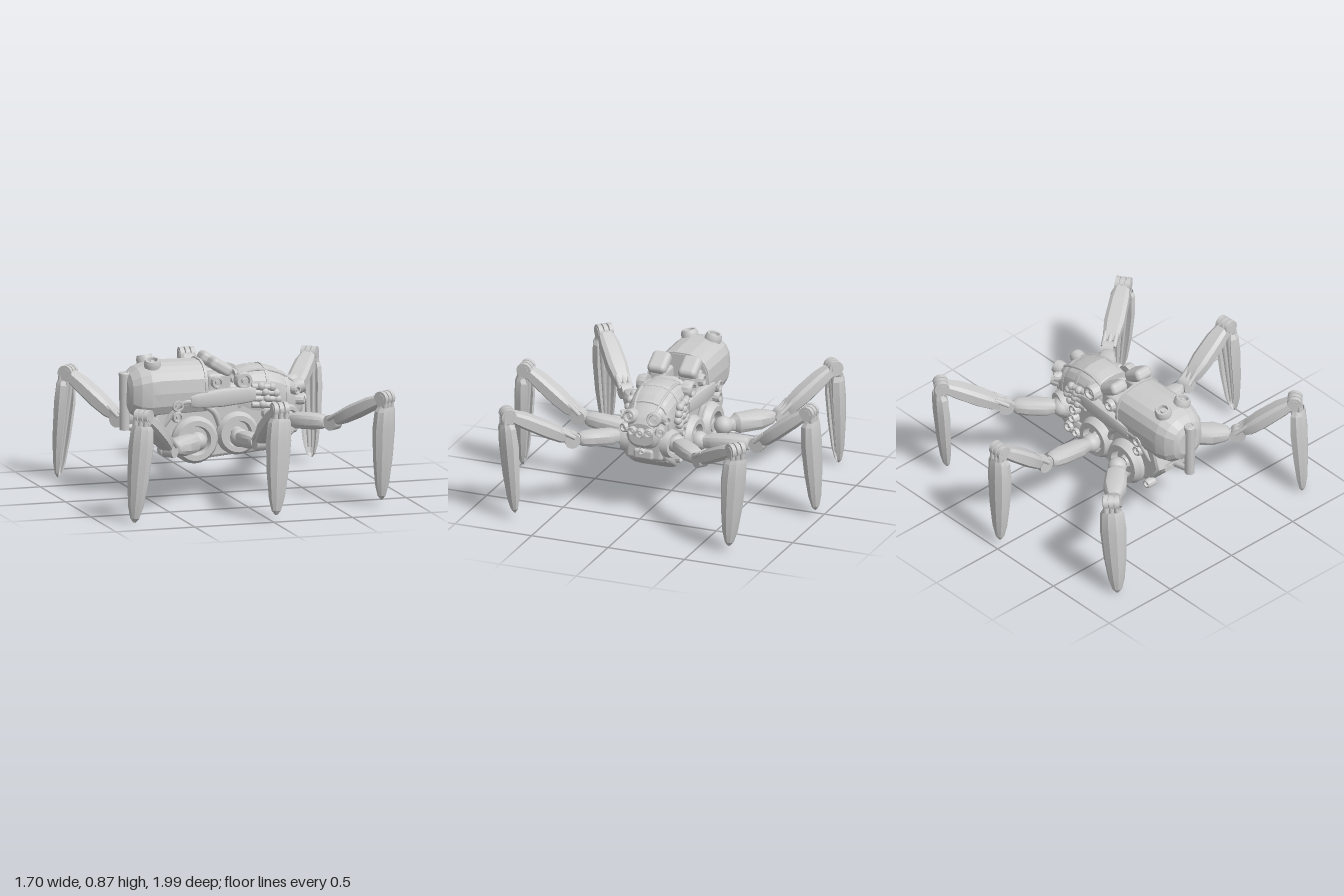
import * as THREE from 'three';
import { toCreasedNormals } from 'three/addons/utils/BufferGeometryUtils.js';
import { RoundedBoxGeometry } from 'three/addons/geometries/RoundedBoxGeometry.js';

const V = (x, y, z) => new THREE.Vector3(x, y, z);
const UP = V(0, 1, 0);
const grey = new THREE.MeshStandardMaterial({ color: 0xcccccc });
const thin = new THREE.MeshStandardMaterial({ color: 0xcccccc, side: THREE.DoubleSide });

// Unit superellipse outline: power 2 is round, higher is boxier
function oval(n, power = 2) {
  const f = (c) => Math.sign(c) * Math.abs(c) ** (2 / power);
  return Array.from({ length: n }, (_, i) => {
    const a = ((i + 0.5) / n) * Math.PI * 2;
    return [f(Math.cos(a)), f(Math.sin(a))];
  });
}

// Skin an outline along +x; each section is [x, centreY, halfY, halfZ]
function loft(sections, outline, crease = 0.5, capped = true) {
  const first = sections[0], last = sections[sections.length - 1];
  const rows = capped ? [[first[0], first[1], 0, 0], ...sections, [last[0], last[1], 0, 0]] : sections;
  const n = outline.length, pos = [], idx = [];
  for (const [x, c, hy, hz] of rows) for (const [u, v] of outline) pos.push(x, c + u * hy, v * hz);
  for (let i = 0; i < rows.length - 1; i++) {
    for (let j = 0; j < n; j++) {
      const a = i * n + j, b = i * n + ((j + 1) % n);
      idx.push(a, b, b + n, a, b + n, a + n);
    }
  }
  const g = new THREE.BufferGeometry();
  g.setAttribute('position', new THREE.Float32BufferAttribute(pos, 3));
  g.setIndex(idx);
  return toCreasedNormals(g, crease);
}

export function createModel() {
  const model = new THREE.Group();
  model.name = 'walker';

  function add(name, geo, pos = V(0, 0, 0), parent = model, mat = grey) {
    const m = new THREE.Mesh(geo, mat);
    m.name = name;
    m.position.copy(pos);
    parent.add(m);
    return m;
  }

  // Round fitting with a raised rim and sunken centre, facing dir
  function knob(name, r, h, pos, dir, sides = 16) {
    const p = [[0, 0], [r, 0], [r, h * 0.65], [r * 0.85, h], [r * 0.62, h], [r * 0.55, h * 0.6],
      [r * 0.3, h * 0.6], [r * 0.25, h * 0.85], [0, h * 0.85]].map(([x, y]) => new THREE.Vector2(x, y));
    const m = add(name, toCreasedNormals(new THREE.LatheGeometry(p, sides), 0.5), pos);
    m.quaternion.setFromUnitVectors(UP, dir.clone().normalize());
  }

  function rod(name, r, a, b, parent = model, r2 = r, sides = 10) {
    const d = b.clone().sub(a);
    const m = add(name, new THREE.CylinderGeometry(r2, r, d.length(), sides), a.clone().lerp(b, 0.5), parent);
    m.quaternion.setFromUnitVectors(UP, d.normalize());
  }

  // Group at a whose +x runs to b and whose +y leans to hint
  function frame(name, a, b, hint, parent) {
    const g = new THREE.Group();
    const x = b.clone().sub(a).normalize();
    const z = x.clone().cross(hint).normalize();
    g.quaternion.setFromRotationMatrix(new THREE.Matrix4().makeBasis(x, z.clone().cross(x), z));
    g.position.copy(a);
    g.name = name;
    parent.add(g);
    return { g, len: a.distanceTo(b) };
  }

  // Central hull
  const hull = new THREE.Shape([[-0.48, 0.43], [-0.42, 0.34], [-0.25, 0.25], [0.1, 0.28], [0.28, 0.3], [0.38, 0.36],
    [0.41, 0.5], [0.3, 0.6], [0.1, 0.66], [-0.1, 0.68], [-0.2, 0.62], [-0.45, 0.52]]
    .map(([x, y]) => new THREE.Vector2(x, y)));
  add('hull', toCreasedNormals(new THREE.ExtrudeGeometry(hull,
    { depth: 0.22, bevelThickness: 0.03, bevelSize: 0.02, bevelSegments: 2 }), 0.5), V(0, 0, -0.11));

  // Belly plates
  add('frontBelly', loft([[0, 0.33, 0.07, 0.13], [0.08, 0.33, 0.08, 0.16], [0.28, 0.345, 0.075, 0.16],
    [0.4, 0.4, 0.05, 0.14], [0.43, 0.43, 0.03, 0.12]], oval(16, 5)));
  add('rearBelly', loft([[-0.5, 0.42, 0.03, 0.09], [-0.4, 0.36, 0.06, 0.12], [-0.25, 0.295, 0.08, 0.14],
    [-0.04, 0.32, 0.07, 0.12]], oval(16, 5)));

  // Rear tank, lightly faceted
  add('tank', loft([[-0.622, 0.65, 0.08, 0.08], [-0.605, 0.65, 0.12, 0.115], [-0.56, 0.65, 0.155, 0.152],
    [-0.5, 0.655, 0.172, 0.172], [-0.43, 0.66, 0.175, 0.178], [-0.28, 0.66, 0.173, 0.178],
    [-0.15, 0.66, 0.17, 0.175]], oval(18, 2.7), 0.2));
  add('tankRim', loft([[-0.17, 0.665, 0.174, 0.181], [-0.155, 0.665, 0.174, 0.181]], oval(18, 2.7)));
  rod('rearCanister', 0.03, V(-0.625, 0.42, 0), V(-0.625, 0.77, 0), model, 0.035);
  knob('canisterCap', 0.036, 0.02, V(-0.625, 0.755, 0), UP);
  rod('rearStrut', 0.02, V(-0.62, 0.44, 0), V(-0.42, 0.4, 0));

  // Head dome with cross bands
  const dome = oval(20, 2.6);
  add('head', loft([[0.03, 0.6, 0.12, 0.13], [0.08, 0.605, 0.155, 0.145], [0.14, 0.605, 0.172, 0.15],
    [0.24, 0.6, 0.178, 0.152], [0.33, 0.585, 0.163, 0.148], [0.41, 0.56, 0.133, 0.125],
    [0.46, 0.545, 0.1, 0.1], [0.48, 0.54, 0.07, 0.08]], dome, 0.3));
  for (const [x, c, hy, hz] of [[0.06, 0.61, 0.155, 0.15], [0.24, 0.6, 0.184, 0.158], [0.37, 0.572, 0.156, 0.143]]) {
    add('headBand', loft([[x - 0.012, c, hy, hz], [x + 0.012, c - 0.004, hy - 0.004, hz - 0.002]], dome));
  }

  // Face block, jaw and snout
  add('face', new RoundedBoxGeometry(0.1, 0.17, 0.24, 2, 0.025), V(0.39, 0.445, 0));
  add('jaw', new RoundedBoxGeometry(0.07, 0.07, 0.13, 2, 0.02), V(0.42, 0.4, 0));
  for (let i = 0; i < 3; i++) {
    knob('snout', 0.035 - i * 0.007, 0.04, V(0.42 + i * 0.01, 0.51 - i * 0.04, 0), V(1, -0.2, 0), 10);
  }
  knob('noseLens', 0.03, 0.04, V(0.475, 0.555, 0), V(1, 0, 0));

  for (const s of [1, -1]) {
    const out = V(0, 0, s);
    // Tank vents and top hatches
    knob('tankVent', 0.052, 0.06, V(-0.47, 0.8, s * 0.07), V(-0.1, 1, s * 0.25));
    add('hatch', new RoundedBoxGeometry(0.15, 0.075, 0.12, 3, 0.03), V(-0.055, 0.795, s * 0.1)).rotation.z = -0.55;
    add('hatchBase', new RoundedBoxGeometry(0.15, 0.12, 0.11, 2, 0.02), V(-0.07, 0.7, s * 0.095));

    // Eyes
    knob('mainEye', 0.046, 0.06, V(0.43, 0.635, s * 0.07), V(1, 0.25, s * 0.2));
    knob('lowerEye', 0.03, 0.045, V(0.46, 0.56, s * 0.05), V(1, 0, s * 0.1), 12);
    knob('sideEye', 0.032, 0.05, V(0.43, 0.565, s * 0.1), V(1, 0, s * 0.5), 12);
    knob('cheekEye', 0.03, 0.05, V(0.4, 0.63, s * 0.11), V(0.6, 0, s), 12);

    // Raised seam along the head
    const seam = new THREE.CatmullRomCurve3([V(0.05, 0.72, s * 0.09), V(0.14, 0.755, s * 0.09),
      V(0.24, 0.756, s * 0.09), V(0.34, 0.725, s * 0.085), V(0.42, 0.674, s * 0.07)]);
    add('headSeam', new THREE.TubeGeometry(seam, 16, 0.009, 6));

    // Side gun pod and staggered barrel cluster
    add('gunPod', loft([[-0.26, 0.605, 0.035, 0.025], [-0.22, 0.605, 0.045, 0.035], [-0.06, 0.615, 0.055, 0.04],
      [0.1, 0.625, 0.05, 0.035], [0.15, 0.625, 0.04, 0.03]], oval(12, 4)), V(0, 0, s * 0.155));
    for (let i = 0; i < 4; i++) {
      const y = 0.56 + i * 0.037, end = 0.3 - Math.abs(i - 1.3) * 0.025;
      rod('barrel', 0.02, V(0.13, y, s * 0.155), V(end, y - 0.01, s * 0.16));
      add('barrelTip', new THREE.SphereGeometry(0.026, 10, 8), V(end, y - 0.01, s * 0.162));
      add('barrelJoint', new THREE.SphereGeometry(0.026, 10, 8), V(end - 0.07, y, s * 0.165));
    }

    // Side fittings [x, y, radius]
    for (const [x, y, r] of [[-0.09, 0.71, 0.04], [0.08, 0.71, 0.055], [0.23, 0.5, 0.036], [0.24, 0.43, 0.036],
      [0.21, 0.335, 0.032], [0.275, 0.345, 0.038], [-0.34, 0.58, 0.04], [-0.34, 0.51, 0.036], [-0.43, 0.31, 0.03]]) {
      knob('sideFitting', r, 0.06, V(x, y, s * 0.12), out, 12);
    }
    const hose = new THREE.CatmullRomCurve3([V(-0.42, 0.46, s * 0.13), V(-0.3, 0.6, s * 0.16),
      V(-0.12, 0.54, s * 0.16), V(-0.06, 0.42, s * 0.14)]);
    add('sideHose', new THREE.TubeGeometry(hose, 20, 0.018, 8));

    // Hip sockets
    knob('rearHip', 0.145, 0.11, V(-0.23, 0.365, s * 0.09), out, 28);
    knob('middleHip', 0.132, 0.1, V(0.04, 0.39, s * 0.09), out, 28);
    knob('frontHip', 0.09, 0.1, V(0.34, 0.46, s * 0.08), V(0.3, 0, s), 20);

    // Legs: hip, knee, ankle and tip
    leg('rearLeg', s, [-0.24, 0.37, 0.24], [-0.5, 0.385, 0.51], [-0.745, 0.645, 0.75], [-0.805, 0, 0.755], 0.066);
    leg('middleLeg', s, [0.04, 0.37, 0.2], [0.045, 0.41, 0.585], [0.062, 0.675, 0.925], [0.03, 0.035, 0.955], 0.055);
    leg('frontLeg', s, [0.34, 0.46, 0.17], [0.56, 0.475, 0.42], [0.785, 0.67, 0.745], [0.78, 0.04, 0.7], 0.055);
  }

  function leg(name, s, ...args) {
    const girth = args.pop();
    const [hip, knee, ankle, tip] = args.map(([x, y, z]) => V(x, y, z * s));
    const group = new THREE.Group();
    group.name = name;
    model.add(group);
    add('hipBall', new THREE.SphereGeometry(0.058, 16, 12), hip, group);

    // Upper leg: barrel with a narrow neck
    const upper = frame('upperLeg', hip, knee, UP, group);
    const L = upper.len;
    add('upperBarrel', loft([[0, 0, 0.035, 0.035], [L * 0.17, 0, 0.042, 0.045], [L * 0.24, 0, girth * 0.9, girth],
      [L * 0.6, 0, girth * 0.9, girth * 1.08], [L * 0.8, 0, 0.043, 0.05], [L * 0.86, 0, 0.034, 0.038]],
    oval(12, 2.8)), V(0, 0, 0), upper.g);
    rod('upperNeck', 0.028, V(L * 0.8, 0, 0), V(L, 0, 0), upper.g);

    // Middle leg: faceted blade between two pronged joints
    const mid = frame('midLeg', knee, ankle, UP, group);
    const M = mid.len;
    add('midBlade', loft([[M * 0.1, 0, 0.03, 0.038], [M * 0.18, 0.002, 0.042, 0.052], [M * 0.4, 0.004, 0.048, 0.064],
      [M * 0.75, 0.004, 0.045, 0.06], [M * 0.96, 0, 0.034, 0.046]], oval(8, 3.6), 0.35), V(0, 0, 0), mid.g);
    rod('kneeJoint', 0.048, V(0, 0, -0.034), V(0, 0, 0.034), mid.g, 0.048, 16);
    for (const z of [-0.034, 0, 0.034]) {
      rod('ankleDisc', 0.046, V(M, 0, z - 0.013), V(M, 0, z + 0.013), mid.g, 0.046, 18);
      rod('kneeProng', 0.014, V(0, 0.025, z), V(M * 0.22, 0.03, z), mid.g);
    }
    rod('anklePin', 0.03, V(M, 0, -0.05), V(M, 0, 0.05), mid.g);

    // Shin: open curved shell with inner ridges, tapering to a blunt point
    const outward = V(ankle.x - hip.x, 0, ankle.z - hip.z).normalize();
    const shin = frame('shin', ankle, tip, outward, group);
    const S = shin.len;
    const arc = (r, from, to) => Array.from({ length: 8 }, (_, i) => {
      const a = from + ((to - from) * i) / 7;
      return [Math.cos(a) * r, Math.sin(a) * r];
    });
    const shell = [...arc(1, -2.2, 2.2), ...arc(0.78, 2.2, -2.2)];
    add('shinShell', loft([[S * 0.08, 0.01, 0.045, 0.062], [S * 0.12, 0.004, 0.058, 0.074], [S * 0.3, 0, 0.065, 0.081],
      [S * 0.6, 0, 0.056, 0.07], [S * 0.85, 0, 0.04, 0.05], [S * 0.96, 0, 0.024, 0.03], [S, 0, 0.006, 0.008]],
    shell, 0.3, false), V(0, 0, 0), shin.g, thin);
    for (const z of [-0.028, 0.028]) {
      rod('shinRidge', 0.016, V(S * 0.05, -0.015, z), V(S * 0.9, -0.005, z * 0.4), shin.g, 0.008, 6);
    }
    for (const z of [-0.034, 0, 0.034]) rod('ankleProng', 0.015, V(0, 0.028, z), V(S * 0.18, 0.03, z), shin.g);
  }

  return model;
}
